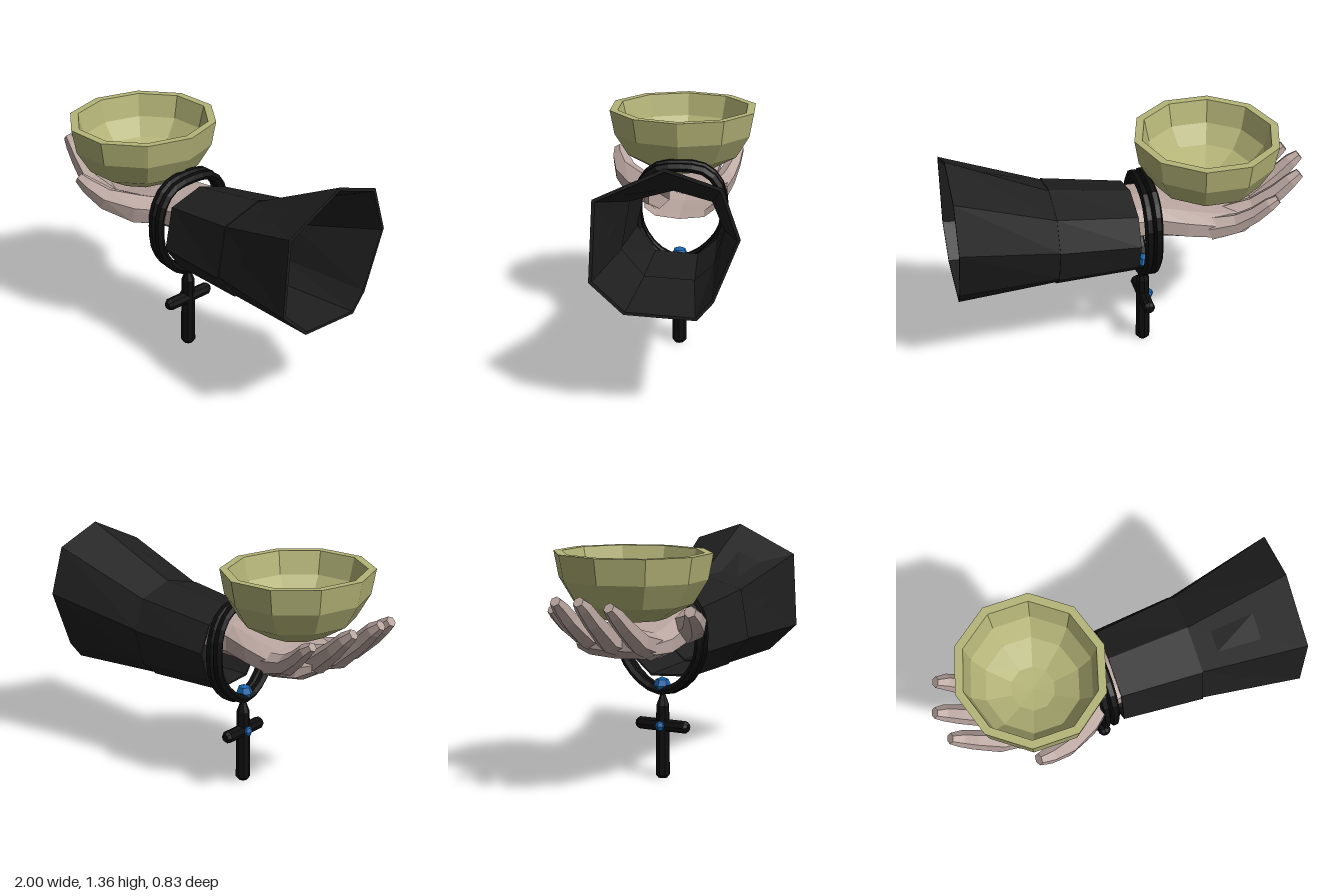
import * as THREE from 'three';

const V = (x, y, z) => new THREE.Vector3(x, y, z);
const mat = (color, side = THREE.FrontSide) =>
  new THREE.MeshStandardMaterial({ color, flatShading: true, side });

const skin = mat(0xb9a59f, THREE.DoubleSide);
const cloth = mat(0x1f1f1f, THREE.DoubleSide);
const cord = mat(0x0d0d0d);
const olive = mat(0xb4b478);
const blue = mat(0x1462ac);

function part(name, geometry, material, x = 0, y = 0, z = 0) {
  const mesh = new THREE.Mesh(geometry, material);
  mesh.name = name;
  mesh.position.set(x, y, z);
  return mesh;
}

// Skin a list of rings; rings run counter-clockwise about the direction of travel.
function loft(rings, capEnd = false) {
  const n = rings[0].length;
  const pos = rings.flat().flatMap((p) => [p.x, p.y, p.z]);
  const index = [];
  for (let i = 0; i < rings.length - 1; i++) {
    for (let j = 0; j < n; j++) {
      const a = i * n + j, b = i * n + (j + 1) % n;
      index.push(a, b, b + n, a, b + n, a + n);
    }
  }
  if (capEnd) {
    const s = (rings.length - 1) * n;
    for (let j = 1; j < n - 1; j++) index.push(s, s + j, s + j + 1);
  }
  const g = new THREE.BufferGeometry();
  g.setAttribute('position', new THREE.Float32BufferAttribute(pos, 3));
  g.setIndex(index);
  const flat = g.toNonIndexed();
  flat.computeVertexNormals();
  return flat;
}

// Tapered six-sided limb through joints [x, y, z, radius].
function limb(joints) {
  const pts = joints.map(([x, y, z]) => V(x, y, z));
  const rings = joints.map((joint, i) => {
    const t = pts[Math.min(i + 1, pts.length - 1)].clone().sub(pts[Math.max(i - 1, 0)]).normalize();
    const s = V(0, 0, 1).addScaledVector(t, -t.z).normalize();
    const v = t.clone().cross(s);
    return Array.from({ length: 6 }, (_, k) => {
      const a = (k + 0.5) * Math.PI / 3;
      return pts[i].clone().addScaledVector(s, joint[3] * Math.cos(a)).addScaledVector(v, joint[3] * Math.sin(a));
    });
  });
  return loft(rings, true);
}

function makeHand() {
  const hand = new THREE.Group();
  hand.name = 'hand';
  // Palm sections: x, bottom, top, back z, front z
  const sections = [
    [0.03, 0.79, 1.0, -0.23, 0.18],
    [-0.12, 0.78, 0.99, -0.22, 0.19],
    [-0.28, 0.765, 0.96, -0.26, 0.24],
    [-0.46, 0.748, 0.92, -0.28, 0.25],
    [-0.61, 0.768, 0.9, -0.26, 0.23],
    [-0.69, 0.82, 0.91, -0.22, 0.19],
  ];
  const rings = sections.map(([x, y0, y1, z0, z1]) =>
    Array.from({ length: 10 }, (_, k) => {
      const a = (k + 0.5) * Math.PI / 5;
      const soft = (c) => Math.sign(c) * Math.abs(c) ** 0.75;
      return V(x, (y0 + y1) / 2 + soft(Math.sin(a)) * (y1 - y0) / 2,
        (z0 + z1) / 2 + soft(Math.cos(a)) * (z1 - z0) / 2);
    }));
  hand.add(part('palm', loft(rings, true), skin));

  const digits = {
    indexFinger: [[-0.52, 0.83, 0.155, 0.075], [-0.7, 0.885, 0.165, 0.065], [-0.83, 0.985, 0.15, 0.052], [-0.9, 1.05, 0.14, 0.045], [-0.95, 1.09, 0.135, 0.03]],
    middleFinger: [[-0.52, 0.83, 0.02, 0.075], [-0.72, 0.885, 0, 0.068], [-0.86, 1.0, -0.01, 0.053], [-0.94, 1.08, -0.018, 0.045], [-0.985, 1.115, -0.02, 0.03]],
    ringFinger: [[-0.52, 0.83, -0.12, 0.075], [-0.69, 0.89, -0.15, 0.065], [-0.81, 0.99, -0.18, 0.052], [-0.88, 1.06, -0.19, 0.044], [-0.93, 1.1, -0.19, 0.03]],
    littleFinger: [[-0.42, 0.83, -0.21, 0.07], [-0.56, 0.87, -0.255, 0.058], [-0.65, 0.935, -0.29, 0.047], [-0.72, 1.0, -0.31, 0.04], [-0.765, 1.03, -0.315, 0.026]],
    thumb: [[-0.08, 0.89, 0.1, 0.08], [-0.24, 0.9, 0.23, 0.09], [-0.38, 0.945, 0.33, 0.068], [-0.48, 1.0, 0.37, 0.05], [-0.545, 1.035, 0.385, 0.033]],
  };
  for (const [name, joints] of Object.entries(digits)) hand.add(part(name, limb(joints), skin));
  return hand;
}

function makeBowl() {
  const profile = [[0, 0.96], [0.17, 0.965], [0.31, 1.05], [0.385, 1.18], [0.41, 1.32],
    [0.365, 1.32], [0.335, 1.19], [0.26, 1.09], [0.12, 1.03], [0, 1.02]];
  const g = new THREE.LatheGeometry(profile.map(([r, y]) => new THREE.Vector2(r, y)), 10);
  g.rotateY(Math.PI / 2);
  g.scale(1, 1, 1.065);
  return part('bowl', g, olive, -0.445, 0, -0.005);
}

function makeSleeve() {
  const sleeve = new THREE.Group();
  sleeve.name = 'sleeve';
  // Eight-sided outlines as [z, y], starting from the top
  const wrist = [[-0.03, 1.03], [0.18, 0.97], [0.23, 0.73], [0.12, 0.58], [-0.13, 0.565], [-0.24, 0.66], [-0.29, 0.82], [-0.22, 0.97]];
  const middle = [[-0.03, 1.1], [0.22, 1.03], [0.27, 0.74], [0.14, 0.58], [-0.15, 0.565], [-0.26, 0.66], [-0.32, 0.87], [-0.25, 1.04]];
  const end = [[-0.04, 1.36], [0.32, 1.19], [0.345, 0.755], [0.17, 0.59], [-0.2, 0.57], [-0.285, 0.67], [-0.415, 1.005], [-0.325, 1.265]];
  const ring = (x, outline, scale = 1) => {
    const cz = outline.reduce((s, p) => s + p[0], 0) / 8;
    const cy = outline.reduce((s, p) => s + p[1], 0) / 8;
    return outline.map(([z, y]) => V(x, cy + (y - cy) * scale, cz + (z - cz) * scale));
  };
  const shell = (x0, a, s0, x1, b) => loft([
    ring(x0, a, s0), ring(x1, b), ring(x1, b, 0.955), ring(x0, a, s0 - 0.045), ring(x0, a, s0)]);
  sleeve.add(part('cuff', shell(-0.005, wrist, 1, 0.45, middle), cloth));
  sleeve.add(part('flare', shell(0.445, middle, 0.975, 1, end), cloth));
  return sleeve;
}

function makeBracelet() {
  const bracelet = new THREE.Group();
  bracelet.name = 'bracelet';
  // Cord path as [z, y], hanging to a point under the wrist
  const path = [[-0.02, 1.065], [-0.17, 1.04], [-0.25, 0.94], [-0.268, 0.8], [-0.25, 0.68], [-0.14, 0.55], [-0.015, 0.5],
    [0.11, 0.55], [0.205, 0.68], [0.225, 0.8], [0.21, 0.94], [0.13, 1.04]];
  for (const [x, lift] of [[-0.107, 0.008], [-0.057, 0]]) {
    const curve = new THREE.CatmullRomCurve3(path.map(([z, y]) => V(x, y + lift, z)), true);
    bracelet.add(part('cordLoop', new THREE.TubeGeometry(curve, 26, 0.027, 6, true), cord));
  }

  // Bevelled cross pendant
  const bar = (points) => new THREE.LatheGeometry(points.map(([r, y]) => new THREE.Vector2(r, y)), 8);
  bracelet.add(part('pendantUpright',
    bar([[0, 0], [0.026, 0], [0.042, 0.018], [0.038, 0.42], [0.014, 0.485], [0, 0.485]]), cord, -0.085, 0, -0.015));
  const cross = bar([[0, -0.163], [0.022, -0.163], [0.036, -0.145], [0.036, 0.145], [0.022, 0.163], [0, 0.163]]);
  cross.rotateX(Math.PI / 2);
  bracelet.add(part('pendantCrossbar', cross, cord, -0.085, 0.305, -0.015));

  // Faceted stones
  bracelet.add(part('upperGem', new THREE.SphereGeometry(0.05, 6, 4), blue, -0.092, 0.535, -0.015));
  bracelet.add(part('lowerGem', new THREE.SphereGeometry(0.03, 6, 4), blue, -0.118, 0.305, -0.015));
  return bracelet;
}

export function createModel() {
  const model = new THREE.Group();
  model.name = 'handWithBowl';
  model.add(makeHand(), makeBowl(), makeSleeve(), makeBracelet());
  return model;
}
